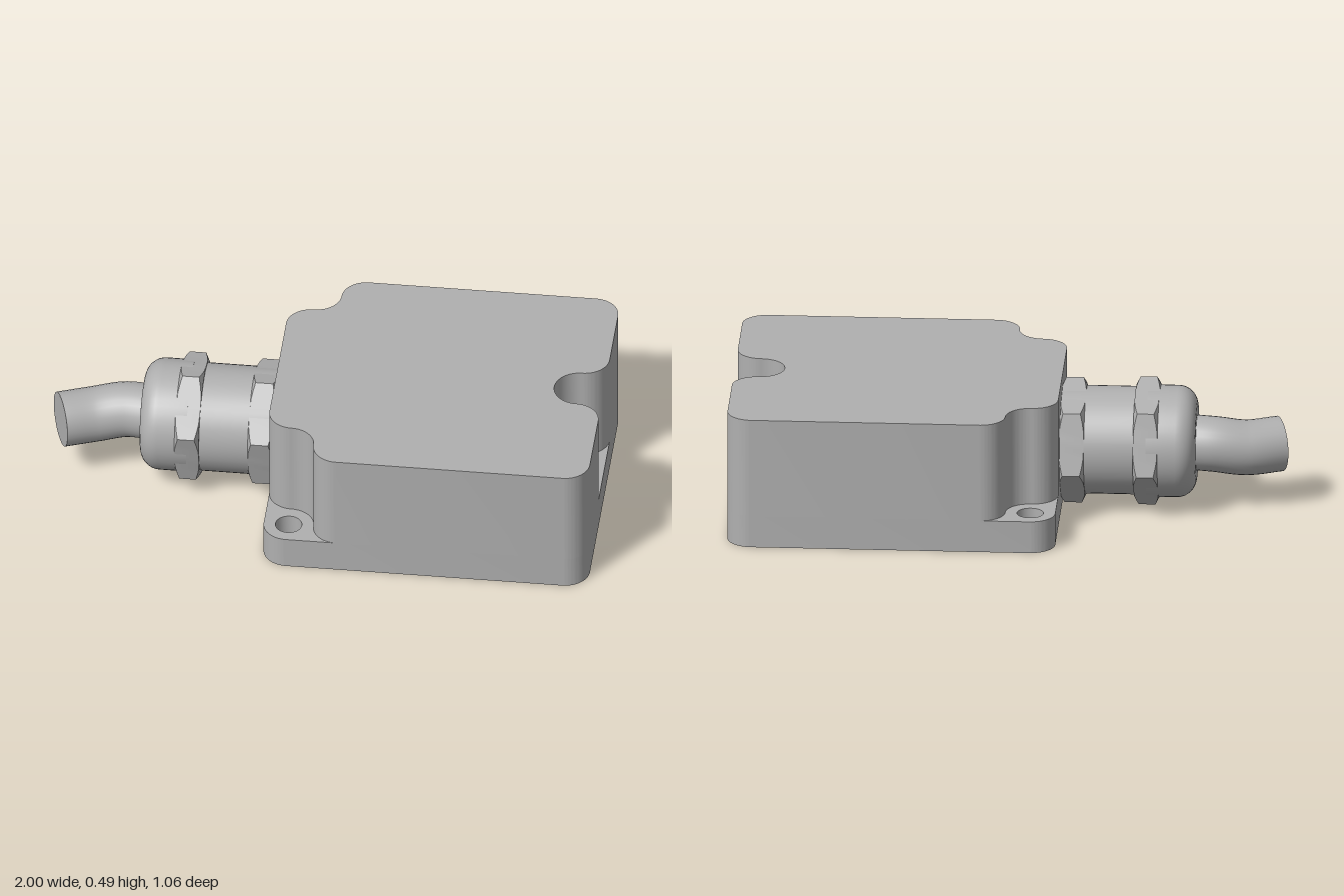
import * as THREE from 'three';
import { toCreasedNormals } from 'three/addons/utils/BufferGeometryUtils.js';

const Q = Math.PI / 2;
const R = 0.09; // shared radius of corners and screw pockets
const AXIS_Y = 0.24; // height of the cable gland axis

// Shape made of arcs [centre x, centre y, start, end] in quarter turns; falling angles run clockwise
function arcShape(arcs) {
  const shape = new THREE.Shape();
  for (const [x, y, a, b] of arcs) shape.absarc(x, y, R, a * Q, b * Q, b < a);
  shape.closePath();
  return shape;
}

// Upright slab from a plan shape
function slab(shape, y, height) {
  const geo = new THREE.ExtrudeGeometry(shape, { depth: height, bevelEnabled: false, curveSegments: 12 });
  geo.rotateX(-Q);
  geo.translate(0, y, 0);
  return toCreasedNormals(geo, 0.5);
}

// Hexagonal nut along x with chamfered corners
function nutGeometry(width, apothem) {
  const geo = new THREE.CylinderGeometry(1, 1, 3, 48, 3);
  const p = geo.attributes.position;
  const endRadius = apothem + 0.003;
  for (let i = 0; i < p.count; i++) {
    const x = p.getX(i), y = p.getY(i), z = p.getZ(i);
    const outer = Math.abs(y) > 1;
    let r = 0, half = width / 2;
    if (Math.hypot(x, z) > 0.5) {
      const a = Math.atan2(x, z) - Math.PI / 4;
      const hex = apothem / Math.cos(a - Math.round(a / (Math.PI / 3)) * (Math.PI / 3));
      r = outer ? Math.min(hex, endRadius) : hex;
      if (!outer) half -= Math.max(0.001, (hex - endRadius) * 0.5);
    }
    p.setXYZ(i, x * r, Math.sign(y) * half, z * r);
  }
  geo.rotateZ(Q);
  return toCreasedNormals(geo, 0.4);
}

export function createModel() {
  const group = new THREE.Group();
  const grey = new THREE.MeshStandardMaterial({ color: 0xb0b0b0 });
  grey.name = 'grey';
  const add = (name, geo, x = 0, y = 0, z = 0) => {
    const mesh = new THREE.Mesh(geo, grey);
    mesh.name = name;
    mesh.position.set(x, y, z);
    group.add(mesh);
    return mesh;
  };

  // Base plate with three screw holes
  const base = arcShape([
    [0.91, -0.44, -1, 0], [0.91, 0.44, 0, 1], [-0.09, 0.44, 1, 2], [-0.09, -0.44, 2, 3],
  ]);
  for (const [x, y] of [[-0.09, 0.44], [-0.09, -0.44], [0.91, 0]]) {
    base.holes.push(new THREE.Path().absarc(x, y, 0.048, 0, Math.PI * 2, true));
  }
  add('basePlate', slab(base, 0, 0.12));

  // Housing with a pocket above each screw hole
  const housing = arcShape([
    [0.91, -0.44, -1, 0],
    [0.91, -0.18, 0, 1], [0.91, 0, 3, 1], [0.91, 0.18, -1, 0],
    [0.91, 0.44, 0, 1],
    [0.09, 0.44, 1, 2], [-0.09, 0.44, 0, -1], [-0.09, 0.26, 1, 2],
    [-0.09, -0.26, 2, 3], [-0.09, -0.44, 1, 0], [0.09, -0.44, 2, 3],
  ]);
  add('housing', slab(housing, 0.12, 0.368));

  // Gland sleeve and its domed cap
  const profile = [[0.195, 0.17], [0.195, 0.49], [0.202, 0.49]];
  for (let i = 0; i <= 8; i++) {
    const a = (i / 8) * Q;
    profile.push([0.132 + 0.07 * Math.cos(a), 0.595 + 0.07 * Math.sin(a)]);
  }
  profile.push([0, 0.665]);
  const gland = new THREE.LatheGeometry(profile.map(([r, y]) => new THREE.Vector2(r, y)), 48);
  gland.rotateZ(Q);
  add('glandBody', toCreasedNormals(gland, 0.5), 0, AXIS_Y);

  // Hexagonal nuts
  add('mountingNut', nutGeometry(0.09, 0.196), -0.222, AXIS_Y - 0.003);
  add('clampingNut', nutGeometry(0.088, 0.2), -0.488, AXIS_Y);

  // Bent cable with a flat cut end
  const path = new THREE.CatmullRomCurve3([
    [-0.63, 0.24, -0.005], [-0.73, 0.237, -0.014], [-0.84, 0.22, 0.004], [-0.96, 0.22, 0.05],
  ].map((p) => new THREE.Vector3(...p)));
  add('cable', new THREE.TubeGeometry(path, 32, 0.1, 32));
  const end = path.getPointAt(1);
  const cut = add('cableEnd', new THREE.CircleGeometry(0.1, 32), end.x, end.y, end.z);
  cut.quaternion.setFromUnitVectors(new THREE.Vector3(0, 0, 1), path.getTangentAt(1));

  return group;
}
